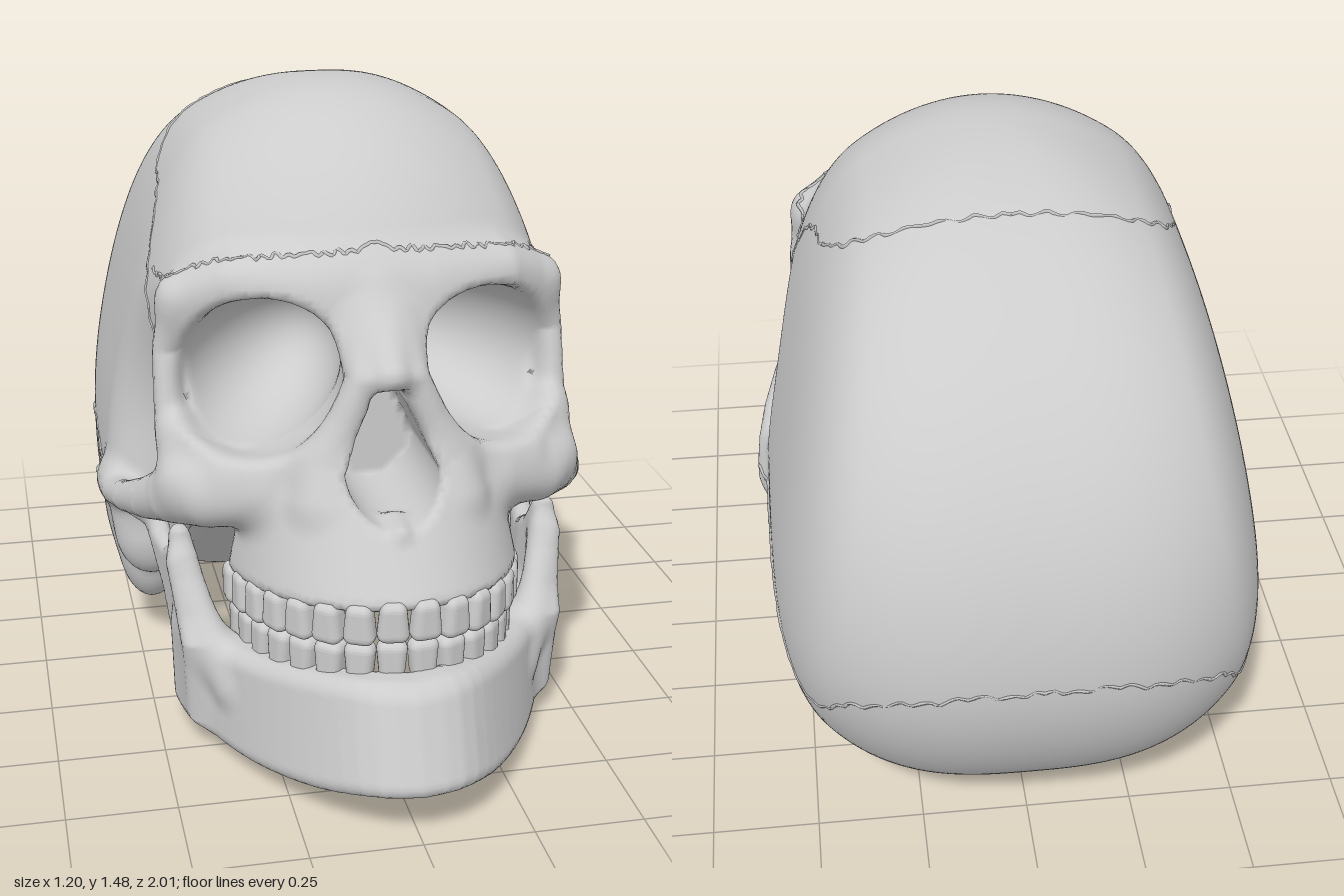
import * as THREE from 'three';
import { mergeGeometries } from 'three/addons/utils/BufferGeometryUtils.js';
import { RoundedBoxGeometry } from 'three/addons/geometries/RoundedBoxGeometry.js';

const { abs, min, max, sqrt, pow, sin } = Math;
const clamp = (v, a, b) => max(a, min(b, v));
const len = (x, y, z = 0) => sqrt(x * x + y * y + z * z);

// Rounded blends between solid shapes (negative = inside)
const join = (a, b, k) => { const h = max(k - abs(a - b), 0); return min(a, b) - h * h / (4 * k); };
const meet = (a, b, k) => -join(-a, -b, k);
const carve = (a, b, k) => meet(a, -b, k);

// Ellipsoid with centre offset (x, y, z) and radii
function egg(x, y, z, a, b, c) {
  const k0 = len(x / a, y / b, z / c), k1 = len(x / (a * a), y / (b * b), z / (c * c));
  return k1 < 1e-6 ? -min(a, b, c) : k0 * (k0 - 1) / k1;
}

// Bone strut through points [x, y, z, radius]
function strut(x, y, z, pts) {
  let d = 9;
  for (let i = 0; i < pts.length - 1; i++) {
    const a = pts[i], b = pts[i + 1];
    const ux = b[0] - a[0], uy = b[1] - a[1], uz = b[2] - a[2];
    const px = x - a[0], py = y - a[1], pz = z - a[2];
    const t = clamp((px * ux + py * uy + pz * uz) / (ux * ux + uy * uy + uz * uz), 0, 1);
    d = min(d, len(px - ux * t, py - uy * t, pz - uz * t) - a[3] - (b[3] - a[3]) * t);
  }
  return d;
}

// Signed distance to a closed 2D outline
function outline(u, v, pts) {
  let d = 9, s = 1;
  for (let i = 0, j = pts.length - 1; i < pts.length; j = i++) {
    const [ax, ay] = pts[i], [bx, by] = pts[j];
    const ex = bx - ax, ey = by - ay, wx = u - ax, wy = v - ay;
    const t = clamp((wx * ex + wy * ey) / (ex * ex + ey * ey), 0, 1);
    d = min(d, len(wx - ex * t, wy - ey * t));
    if ((ay > v) !== (by > v) && u < (bx - ax) * (v - ay) / (by - ay) + ax) s = -s;
  }
  return s * d;
}

const BROW = [[.42, 1.07, .345, .045], [.31, 1.12, .415, .05], [.13, 1.11, .45, .055], [0, 1.11, .445, .06]];
const ORBIT_SIDE = [[.43, .68, .45, .06], [.452, .8, .37, .035], [.455, .95, .335, .03], [.42, 1.07, .345, .045]];
const ORBIT_FLOOR = [[.1, .84, .57, .035], [.2, .745, .57, .04], [.34, .72, .51, .045], [.43, .78, .41, .04]];
const CHEEK = [[.27, .67, .53, .08], [.38, .65, .48, .08], [.45, .62, .4, .068], [.5, .58, .32, .05],
  [.543, .545, .22, .037], [.565, .52, .12, .031], [.55, .505, 0, .045]];
const NASAL_BONE = [[0, 1.09, .485, .045], [0, 1.02, .575, .042], [0, .96, .655, .034]];
const NOSE_SIDE = [[.045, 1.05, .52, .035], [.058, .945, .625, .032], [.095, .85, .62, .038],
  [.14, .75, .615, .05], [.15, .67, .64, .06]];
const PTERYGOID = [[.16, .75, .3, .11], [.14, .56, .34, .035]];
const NASAL_SPINE = [[0, .63, .69, .025], [0, .64, .765, .012]];

function skullField(sx, y, z) {
  const x = abs(sx);
  // Braincase: blunt at the back, rounder at the forehead, with leaning side walls
  const dz = z + .02, dy = y - .62, front = dz > 0, p = front ? 1.95 : 2.9;
  const flat = pow(pow(x / .66, p) + pow(abs(dz) / (front ? .665 : .978), p), 1 / p);
  let d = (len(flat, dy / (dy > 0 ? .87 : .73)) - 1) * .6;
  const wall = join(.593, .452 + .19 * (1.27 - y), .04);
  d = meet(d, x - wall, .13);
  // Sloping base and hollow temples
  d = meet(d, (.03 + .8 * (z + .42) - y) / 1.28, .11);
  d = carve(d, egg(x - .65, y - .75, z - .32, .24, .36, .27), .1);
  // Mastoid and ear region
  d = join(d, egg(x - .46, y - .28, z + .12, .085, .16, .11), .06);
  d = join(d, egg(x - .47, y - .37, z - .02, .09, .12, .075), .05);
  // Face bones
  d = join(d, egg(x, y - .8, z - .35, .14, .3, .3), .04);
  d = join(d, strut(x, y, z, PTERYGOID), .04);
  d = join(d, strut(x, y, z, BROW), .07);
  d = join(d, strut(x, y, z, ORBIT_SIDE), .03);
  const rz = .442 - .64 * (y - .5), rx = .332 - .2 * (y - .5);
  let jaw = (len(x / max(rx, .1), (z - .42) / max(rz, .1)) - 1) * .3;
  jaw = meet(jaw, .42 - z, .06);
  jaw = meet(meet(jaw, .44 + .13 * (z - .45) - y, .03), y - .8, .04);
  d = join(d, jaw, .03);
  d = join(d, strut(x, y, z, ORBIT_FLOOR), .04);
  d = join(d, strut(x, y, z, CHEEK), .05);
  // Eye sockets, leaning inward as they deepen
  const ox = x - .265 + max(0, .45 - z) * .35;
  d = carve(d, egg(ox, y - .92 + .1 * (x - .265), z - .45, .193, .175, .3), .03);
  // Nose bridge and walls
  d = join(d, strut(x, y, z, NOSE_SIDE), .04);
  d = join(d, strut(x, y, z, NASAL_BONE), .05);
  // Nasal opening, palate and spinal opening
  d = carve(d, max(strut(x, y, 0, [[0, .745, 0, .105], [0, .885, 0, .042]]), .42 - z), .02);
  d = carve(d, egg(x, y - .47, z - .5, .2, .1, .28), .02);
  d = carve(d, egg(x, y - .17, z + .27, .1, .15, .13), .03);
  return join(d, strut(x, y, z, NASAL_SPINE), .03);
}

// Smoothed jaw body path: x, z, bottom, top, half thickness
const spline = (rows, n) => Array.from({ length: n + 1 }, (_, i) => {
  const s = i / n * (rows.length - 1), k = min(Math.floor(s), rows.length - 2), t = s - k;
  const row = (j) => rows[clamp(j, 0, rows.length - 1)];
  return rows[0].map((_, c) => {
    const [a, b, e, f] = [row(k - 1)[c], row(k)[c], row(k + 1)[c], row(k + 2)[c]];
    return b + .5 * t * (e - a + t * (2 * a - 5 * b + 4 * e - f + t * (3 * (b - e) + f - a)));
  });
});
const BODY = spline([[0, .958, .12, .35, .055], [.085, .93, .115, .35, .055], [.185, .81, .08, .33, .05],
  [.285, .64, .05, .305, .05], [.365, .48, .042, .295, .045], [.41, .36, .055, .295, .04]], 18);
const RAMUS = [[.33, .06], [.5, .08], [.53, .29], [.48, .34], [.44, .42], [.415, .53], [.375, .535], [.32, .46],
  [.24, .42], [.17, .43], [.14, .47], [.08, .47], [.11, .4], [.21, .29], [.27, .13]];
const OBLIQUE_RIDGE = [[.345, .2, .56, .03], [.39, .3, .49, .038], [.44, .45, .415, .024]];

function jawField(sx, y, z) {
  const x = abs(sx), zs = z + (y - .13) * .4 * clamp((z - .45) / .45, 0, 1);
  let best = 9, near = 0, at = 0;
  for (let i = 0; i < BODY.length - 1; i++) {
    const a = BODY[i], b = BODY[i + 1], ux = b[0] - a[0], uz = b[1] - a[1];
    const t = clamp(((x - a[0]) * ux + (zs - a[1]) * uz) / (ux * ux + uz * uz), 0, 1);
    const d = len(x - a[0] - ux * t, zs - a[1] - uz * t);
    if (d < best) { best = d; near = i; at = t; }
  }
  const [, , bottom, top, half] = BODY[near].map((v, n) => v + (BODY[near + 1][n] - v) * at);
  const r = .038, u = best - half + r, v = abs(y - (bottom + top) / 2) - (top - bottom) / 2 + r;
  let d = min(max(u, v), 0) + len(max(u, 0), max(v, 0)) - r;
  // Upright branch, its front ridge and hinge knob
  const side = abs(x - .415 - .06 * (y - .1) - .18 * max(0, .3 - z)) - .026;
  d = join(d, meet(outline(z, y, RAMUS), side, .03), .05);
  d = join(d, strut(x, y, z, OBLIQUE_RIDGE), .05);
  return join(d, egg(x - .475, y - .465, z - .1, .065, .035, .038), .03);
}

// Smooth skin over a field: one vertex per crossed cell, one quad per crossed edge
function sculpt(field, lo, hi, cell) {
  const n = lo.map((v, a) => Math.ceil((hi[a] - v) / cell) + 1), step = [1, n[0], n[0] * n[1]];
  const val = new Float32Array(n[0] * n[1] * n[2]), id = new Int32Array(val.length).fill(-1);
  const each = (from, trim, fn) => {
    for (let k = from; k < n[2] - trim; k++) for (let j = from; j < n[1] - trim; j++)
      for (let i = from; i < n[0] - trim; i++) fn(i, j, k, i + j * step[1] + k * step[2]);
  };
  each(0, 0, (i, j, k, c) => { val[c] = field(lo[0] + i * cell, lo[1] + j * cell, lo[2] + k * cell); });
  const pos = [], nor = [], idx = [], e = cell * .3;
  const slope = (p) => [0, 1, 2].map((a) => {
    const f = [...p], g = [...p]; f[a] += e; g[a] -= e;
    return (field(...f) - field(...g)) / (2 * e);
  });
  each(0, 1, (i, j, k, c) => {
    const sum = [0, 0, 0]; let count = 0;
    for (let m = 0; m < 8; m++) for (let a = 0; a < 3; a++) {
      if (m >> a & 1) continue;
      const bits = [m & 1, m >> 1 & 1, m >> 2 & 1];
      const s = c + bits[0] + bits[1] * step[1] + bits[2] * step[2], v0 = val[s], v1 = val[s + step[a]];
      if ((v0 < 0) === (v1 < 0)) continue;
      bits[a] = v0 / (v0 - v1); count++;
      for (let b = 0; b < 3; b++) sum[b] += bits[b];
    }
    if (!count) return;
    const p = [i, j, k].map((v, a) => lo[a] + (v + sum[a] / count) * cell);
    const g = slope(p), gg = g[0] * g[0] + g[1] * g[1] + g[2] * g[2] + 1e-9;
    const move = clamp(field(...p) / gg, -cell * .4, cell * .4), l = sqrt(gg);
    id[c] = pos.length / 3;
    pos.push(...p.map((v, a) => v - g[a] * move));
    nor.push(g[0] / l, g[1] / l, g[2] / l);
  });
  each(1, 1, (i, j, k, c) => {
    for (let a = 0; a < 3; a++) {
      const inside = val[c] < 0, sb = step[(a + 1) % 3], sc = step[(a + 2) % 3];
      if (inside === (val[c + step[a]] < 0)) continue;
      const [q, r, s, t] = [id[c], id[c - sb], id[c - sb - sc], id[c - sc]];
      if (inside) idx.push(q, r, s, q, s, t); else idx.push(q, s, r, q, t, s);
    }
  });
  const geo = new THREE.BufferGeometry();
  geo.setAttribute('position', new THREE.Float32BufferAttribute(pos, 3));
  geo.setAttribute('normal', new THREE.Float32BufferAttribute(nor, 3));
  return geo.setIndex(idx);
}

// Sixteen teeth along an arch, narrowing to the root; dir is +1 for upper, -1 for lower
function teeth(rx, rz, dir) {
  const arch = new THREE.EllipseCurve(0, .42, rx, rz, 0, Math.PI), parts = [], w = arch.getLength() / 16;
  for (let i = 0; i < 16; i++) {
    const u = (i + .5) / 16, t = abs(2 * u - 1), p = arch.getPointAt(u), tan = arch.getTangentAt(u);
    const h = .095, g = new RoundedBoxGeometry(w * .94, h, .045 + .045 * t, 3, .02), a = g.attributes.position;
    for (let v = 0; v < a.count; v++) a.setX(v, a.getX(v) * min(1 - dir * a.getY(v) / h * .4, 1.05));
    g.computeVertexNormals();
    g.rotateY(Math.atan2(-tan.y, tan.x));
    g.translate(p.x, .425 - .065 * t + dir * (h / 2 + .002), p.y);
    parts.push(g);
  }
  return mergeGeometries(parts);
}

// Wavering seam laid on the skull surface
function seam(points, mirror) {
  const path = new THREE.CatmullRomCurve3(points.map((p) => new THREE.Vector3(...p)));
  const mid = new THREE.Vector3(0, .75, -.1), count = 70;
  const laid = path.getSpacedPoints(count).map((p, i) => {
    const w = i === 0 || i === count ? 0 : .006;
    p.y += w * sin(i * 2.1) + w * .6 * sin(i * 0.83);
    p.z += w * sin(i * 1.7 + 1);
    const dir = p.sub(mid).normalize(), at = new THREE.Vector3();
    let r = 1.3;
    while (r > .2 && skullField(...at.copy(dir).multiplyScalar(r).add(mid)) > 0) r -= .003;
    at.x *= mirror;
    return at;
  });
  return new THREE.TubeGeometry(new THREE.CatmullRomCurve3(laid), 140, .005, 4);
}

const SEAMS = {
  coronalSeam: [[0, 1.42, -.37], [.2, 1.4, -.36], [.33, 1.33, -.3], [.41, 1.28, -.18], [.44, 1.25, -.02],
    [.47, 1.15, .1], [.47, 1, .17], [.45, .85, .19], [.45, .66, .2]],
  browSeam: [[0, 1.2, .46], [.05, 1.18, .46], [.2, 1.16, .42], [.35, 1.13, .35], [.44, 1.1, .3], [.47, 1.1, .18]],
  rearSeam: [[.58, .53, 0], [.58, .52, -.18], [.58, .54, -.34], [.57, .5, -.55], [.5, .43, -.77],
    [.4, .54, -.9], [.2, .61, -.98], [0, .62, -1]],
  mastoidSeam: [[.58, .52, -.05], [.57, .5, -.18], [.54, .37, -.26], [.48, .18, -.3], [.35, .07, -.46]],
};

export function createModel() {
  const group = new THREE.Group();
  const bone = new THREE.MeshStandardMaterial({ name: 'bone', color: 0xcccccc });
  const add = (name, geo) => {
    const mesh = new THREE.Mesh(geo, bone);
    mesh.name = name;
    group.add(mesh);
  };
  add('upperSkull', sculpt(skullField, [-.664, -.04, -1.04], [.664, 1.54, .9], .016));
  add('lowerJaw', sculpt(jawField, [-.575, -.01, .02], [.575, .58, 1.04], .0125));
  add('upperTeeth', teeth(.305, .425, 1));
  add('lowerTeeth', teeth(.29, .41, -1));
  for (const [name, pts] of Object.entries(SEAMS))
    for (const m of [1, -1]) add(name + (m > 0 ? 'Left' : 'Right'), seam(pts, m));
  return group;
}
